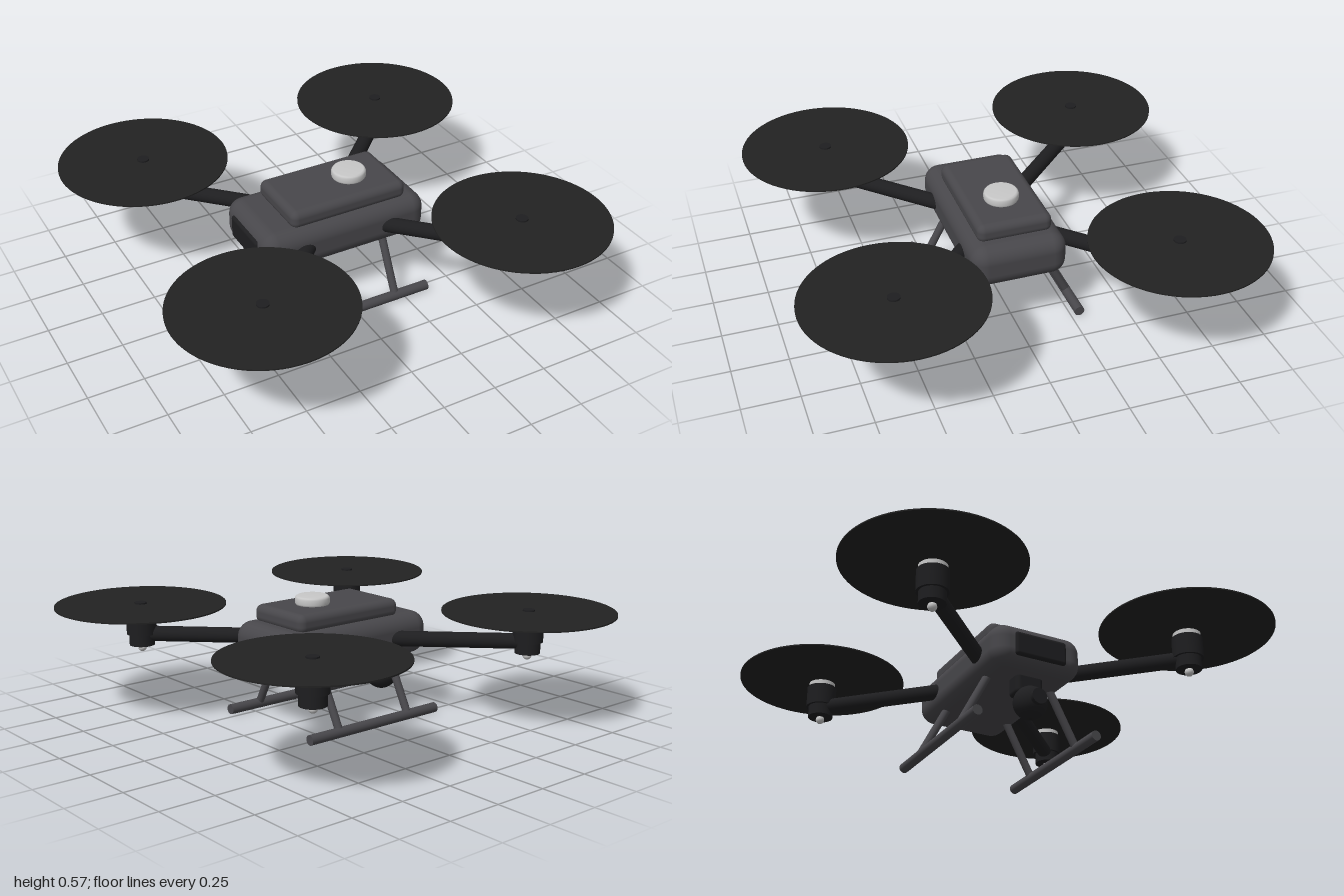
import * as THREE from 'three';
import { RoundedBoxGeometry } from 'three/addons/geometries/RoundedBoxGeometry.js';

const material = (name, color) => {
  const m = new THREE.MeshStandardMaterial({ color });
  m.name = name;
  return m;
};

export function createModel() {
  const shellGrey = material('shell grey', 0x48474b);
  const darkGrey = material('dark grey', 0x1e1e20);
  const rotorBlack = material('rotor black', 0x222222);
  const metal = material('light metal', 0xc8c8c8);

  const drone = new THREE.Group();
  drone.name = 'quadcopter';

  const add = (parent, name, geometry, mat, x = 0, y = 0, z = 0) => {
    const mesh = new THREE.Mesh(geometry, mat);
    mesh.name = name;
    mesh.position.set(x, y, z);
    parent.add(mesh);
    return mesh;
  };
  const box = (name, mat, [w, h, d], radius, x, y, z) =>
    add(drone, name, new RoundedBoxGeometry(w, h, d, 5, radius), mat, x, y, z);
  // Upright cylinder between two heights
  const disc = (parent, name, mat, r, y0, y1, segments = 32) =>
    add(parent, name, new THREE.CylinderGeometry(r, r, y1 - y0, segments), mat, 0, (y0 + y1) / 2, 0);
  // Round bar between two points
  const bar = (name, mat, r, a, b) => {
    const from = new THREE.Vector3(...a), to = new THREE.Vector3(...b);
    const dir = to.clone().sub(from);
    const mesh = add(drone, name, new THREE.CylinderGeometry(r, r, dir.length(), 20), mat);
    mesh.position.copy(from).add(to).multiplyScalar(0.5);
    mesh.quaternion.setFromUnitVectors(new THREE.Vector3(0, 1, 0), dir.normalize());
    return mesh;
  };

  // Body, top cover and nose panel
  box('body', shellGrey, [0.8, 0.195, 0.43], 0.07, 0, 0.363, 0);
  box('topCover', shellGrey, [0.565, 0.085, 0.335], 0.033, 0.032, 0.488, 0);
  box('nosePanel', darkGrey, [0.04, 0.11, 0.25], 0.015, -0.389, 0.36, 0);

  // Satellite antenna puck with softened rims
  const puck = [[0, 0.525], [0.066, 0.525], [0.073, 0.529], [0.077, 0.537], [0.077, 0.558],
    [0.073, 0.566], [0.066, 0.57], [0, 0.57]].map(([r, y]) => new THREE.Vector2(r, y));
  add(drone, 'antennaPuck', new THREE.LatheGeometry(puck, 40), metal, 0.115, 0, 0);

  // Diagonal arms, each carrying a motor and a rotor disc
  for (const sx of [-1, 1]) for (const sz of [-1, 1]) {
    const p = 0.615;
    bar('arm', darkGrey, 0.035, [0.14 * sx, 0.36, 0.14 * sz], [p * sx, 0.36, p * sz]);
    const unit = new THREE.Group();
    unit.name = 'rotorUnit';
    unit.position.set(p * sx, 0, p * sz);
    drone.add(unit);
    disc(unit, 'motorBase', darkGrey, 0.057, 0.308, 0.37);
    disc(unit, 'motorCan', darkGrey, 0.068, 0.36, 0.457);
    disc(unit, 'motorCap', metal, 0.061, 0.455, 0.479);
    disc(unit, 'rotorHub', darkGrey, 0.027, 0.477, 0.505, 20);
    disc(unit, 'rotorDisc', rotorBlack, 0.385, 0.492, 0.498, 72);
    add(unit, 'lamp', new THREE.SphereGeometry(0.02, 16, 12), metal, 0, 0.296, 0);
  }

  // Landing gear: splayed struts and skids
  for (const s of [-1, 1]) {
    for (const x of [-0.2, 0.2]) {
      bar('strut', shellGrey, 0.018, [x, 0.29, 0.148 * s], [x, 0.026, 0.286 * s]);
    }
    bar('skid', shellGrey, 0.023, [-0.368, 0.025, 0.286 * s], [0.365, 0.025, 0.286 * s]);
  }

  // Camera under the nose
  box('cameraMount', darkGrey, [0.085, 0.1, 0.13], 0.02, -0.263, 0.232, 0);
  add(drone, 'cameraBall', new THREE.SphereGeometry(0.075, 32, 20), darkGrey, -0.3, 0.143, 0);
  bar('lens', darkGrey, 0.036, [-0.31, 0.143, 0], [-0.385, 0.143, 0]);

  return drone;
}
